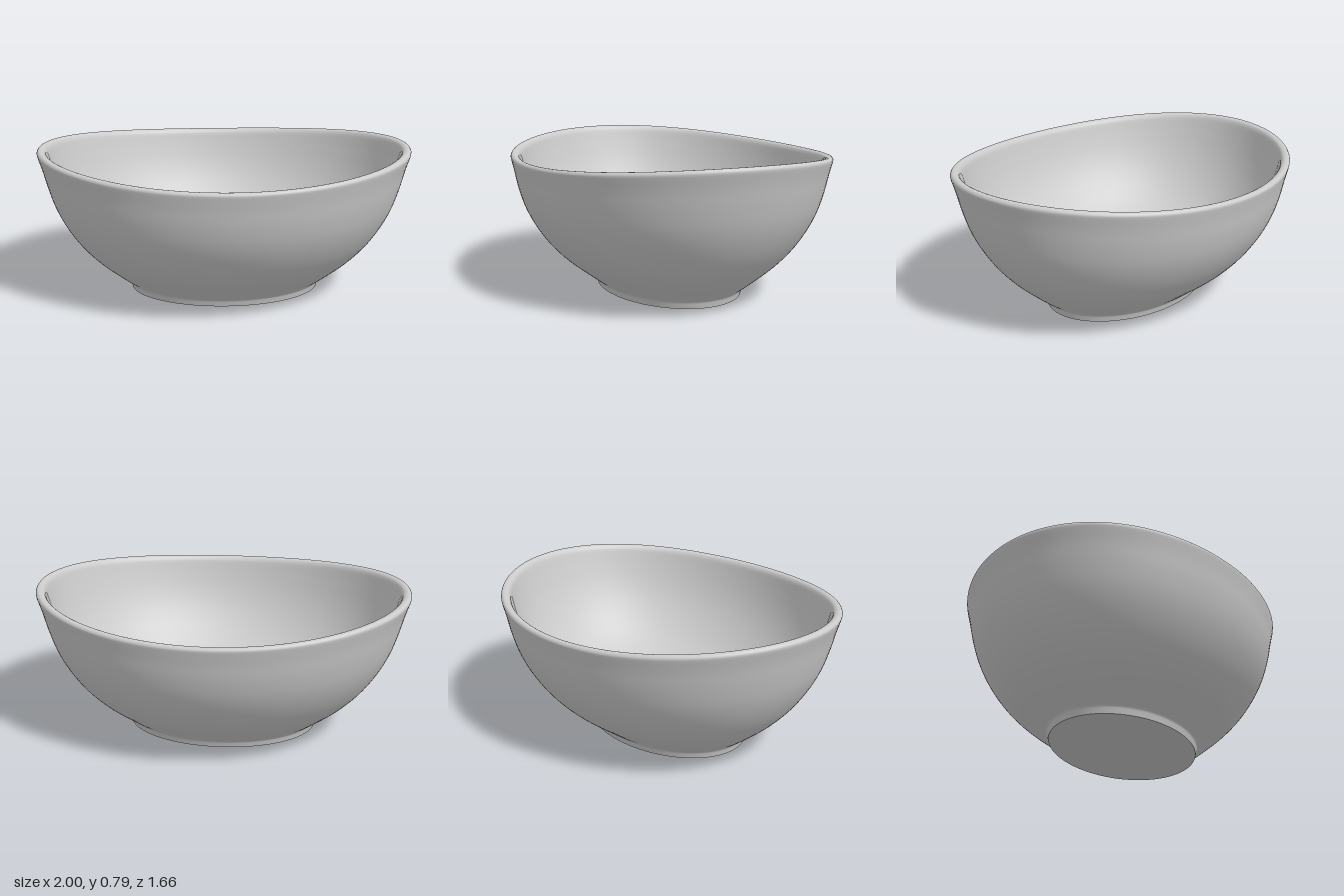
import * as THREE from 'three';

const SEGMENTS = 128;
const grey = new THREE.MeshStandardMaterial({ color: 0xcccccc });
const dark = new THREE.MeshStandardMaterial({ color: 0x444444 });

// The rim rises towards the two long ends (x) and dips at front and back
const rimHeight = (a) => 0.73 + 0.06 * Math.cos(a) ** 2;

// Smooth profile through [x radius, z radius, fraction of rim height]
function profile(points, divisions) {
  const vectors = points.map((p) => new THREE.Vector3(...p));
  return new THREE.CatmullRomCurve3(vectors, false, 'centripetal').getPoints(divisions);
}

// Skin of elliptical rings, one per profile point
function ellipticalShell(rings) {
  const positions = [], index = [];
  rings.forEach((r, i) => {
    for (let j = 0; j < SEGMENTS; j++) {
      const a = (j / SEGMENTS) * Math.PI * 2;
      positions.push(r.x * Math.cos(a), r.z * rimHeight(a), r.y * Math.sin(a));
      if (i === rings.length - 1) continue;
      const k = (j + 1) % SEGMENTS, p = i * SEGMENTS, q = p + SEGMENTS;
      index.push(p + j, q + j, p + k, q + j, q + k, p + k);
    }
  });
  const geometry = new THREE.BufferGeometry();
  geometry.setAttribute('position', new THREE.Float32BufferAttribute(positions, 3));
  geometry.setIndex(index);
  geometry.computeVertexNormals();
  return geometry;
}

export function createModel() {
  const model = new THREE.Group();
  const add = (name, geometry, material = grey) => {
    const mesh = new THREE.Mesh(geometry, material);
    mesh.name = name;
    model.add(mesh);
    return mesh;
  };

  // Foot ring flaring slightly into the body
  const foot = profile([
    [0.515, 0.367, 0], [0.52, 0.372, 0.025], [0.525, 0.377, 0.045], [0.535, 0.386, 0.058],
  ], 10);

  // Outer wall up to the rim
  const outer = profile([
    [0.535, 0.386, 0.058], [0.6, 0.447, 0.12], [0.72, 0.568, 0.25], [0.805, 0.652, 0.37],
    [0.872, 0.718, 0.5], [0.917, 0.762, 0.62], [0.95, 0.793, 0.75], [0.977, 0.813, 0.88],
    [0.998, 0.827, 0.965],
  ], 44);

  // Rounded lip
  const lip = profile([
    [0.998, 0.827, 0.965], [0.999, 0.828, 0.982], [0.99, 0.82, 0.997], [0.972, 0.802, 0.998],
    [0.957, 0.788, 0.988], [0.947, 0.778, 0.965],
  ], 16);

  // Inner wall curving down to the floor and the edge of the drain hole
  const inner = profile([
    [0.947, 0.778, 0.965], [0.924, 0.76, 0.86], [0.89, 0.731, 0.73], [0.844, 0.688, 0.6],
    [0.78, 0.625, 0.47], [0.692, 0.54, 0.345], [0.575, 0.435, 0.24], [0.43, 0.32, 0.16],
    [0.285, 0.22, 0.113], [0.195, 0.17, 0.096], [0.14, 0.14, 0.088], [0.13, 0.13, 0.091],
    [0.123, 0.123, 0.088], [0.12, 0.12, 0.06],
  ], 70);

  add('basin', ellipticalShell([...foot, ...outer.slice(1), ...lip.slice(1), ...inner.slice(1)]));

  // Flat underside
  const base = add('base', new THREE.CircleGeometry(1, SEGMENTS));
  base.rotation.x = Math.PI / 2;
  base.scale.set(0.515, 0.367, 1);

  // Drain flange with a round raised stopper in the middle
  const flange = add('drainFlange', new THREE.CylinderGeometry(0.122, 0.122, 0.03, 64), dark);
  flange.position.y = 0.045;
  const stopper = add('drainStopper', new THREE.CylinderGeometry(0.075, 0.075, 0.04, 64), dark);
  stopper.position.y = 0.065;

  return model;
}
